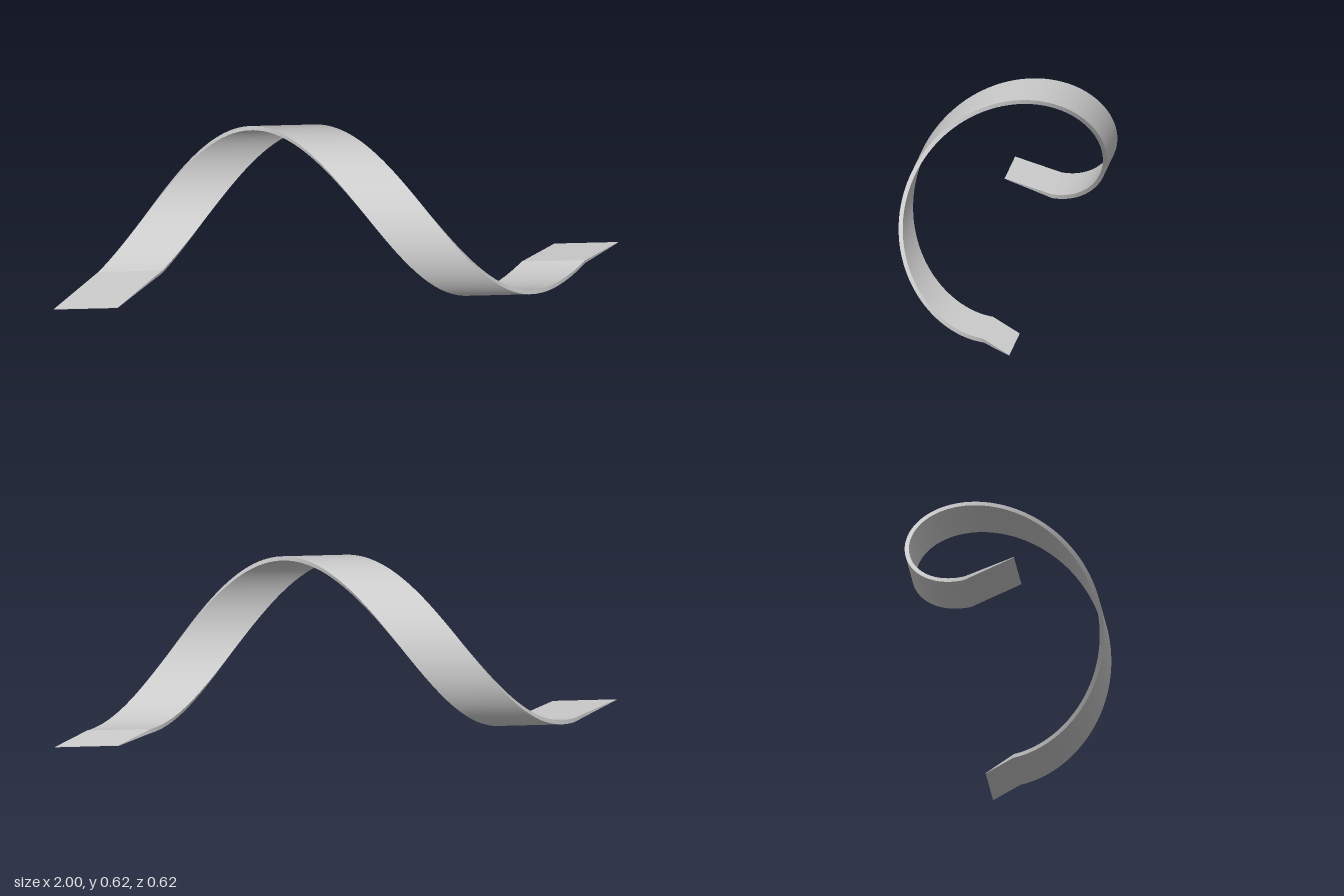
import * as THREE from 'three';
import { toCreasedNormals } from 'three/addons/utils/BufferGeometryUtils.js';

const CENTER_Y = 0.308, OUTER = 0.308, INNER = 0.293;
const HALF_WIDTH = 0.1125, PITCH = 1.49, START_X = -0.77;
const FOLD = 0.2, STEPS = 108; // fold angle past the lowest point, sections per turn

// Cross-section of the band: four corners, lying parallel to the x axis
function section(x, outer, inner) {
  return [
    [x - HALF_WIDTH, ...outer], [x + HALF_WIDTH, ...outer],
    [x + HALF_WIDTH, ...inner], [x - HALF_WIDTH, ...inner],
  ];
}

// Section on the helix; the angle is measured from the lowest point towards the back
function helixSection(a) {
  const at = (r) => [CENTER_Y - r * Math.cos(a), -r * Math.sin(a)];
  return section(START_X + PITCH * a / (2 * Math.PI), at(OUTER), at(INNER));
}

// Closed solid lofted through the sections
function loft(sections) {
  const index = [];
  const quad = (a, b, c, d) => index.push(a, b, c, a, c, d);
  for (let i = 0; i < sections.length - 1; i++) {
    const a = i * 4, b = a + 4;
    for (let k = 0; k < 4; k++) {
      const n = (k + 1) % 4;
      quad(a + k, b + k, b + n, a + n);
    }
  }
  const e = (sections.length - 1) * 4;
  quad(0, 1, 2, 3);
  quad(e + 3, e + 2, e + 1, e);
  const geometry = new THREE.BufferGeometry();
  geometry.setAttribute('position', new THREE.Float32BufferAttribute(sections.flat(2), 3));
  geometry.setIndex(index);
  return toCreasedNormals(geometry, 0.1);
}

export function createModel() {
  const group = new THREE.Group();
  group.name = 'helicalRibbon';
  const material = new THREE.MeshStandardMaterial({ color: 0xcccccc });

  // One full turn of the band, between flat tapered ends
  const turn = [];
  for (let i = 0; i <= STEPS; i++) turn.push(helixSection(FOLD + 2 * Math.PI * i / STEPS));
  const rightTip = section(-0.8875, [0.007, 0.135], [0.009, 0.135]);
  const leftTip = section(0.8875, [0.007, -0.173], [0.009, -0.173]);

  const band = new THREE.Mesh(loft([rightTip, ...turn, leftTip]), material);
  band.name = 'ribbonBand';
  group.add(band);
  return group;
}
